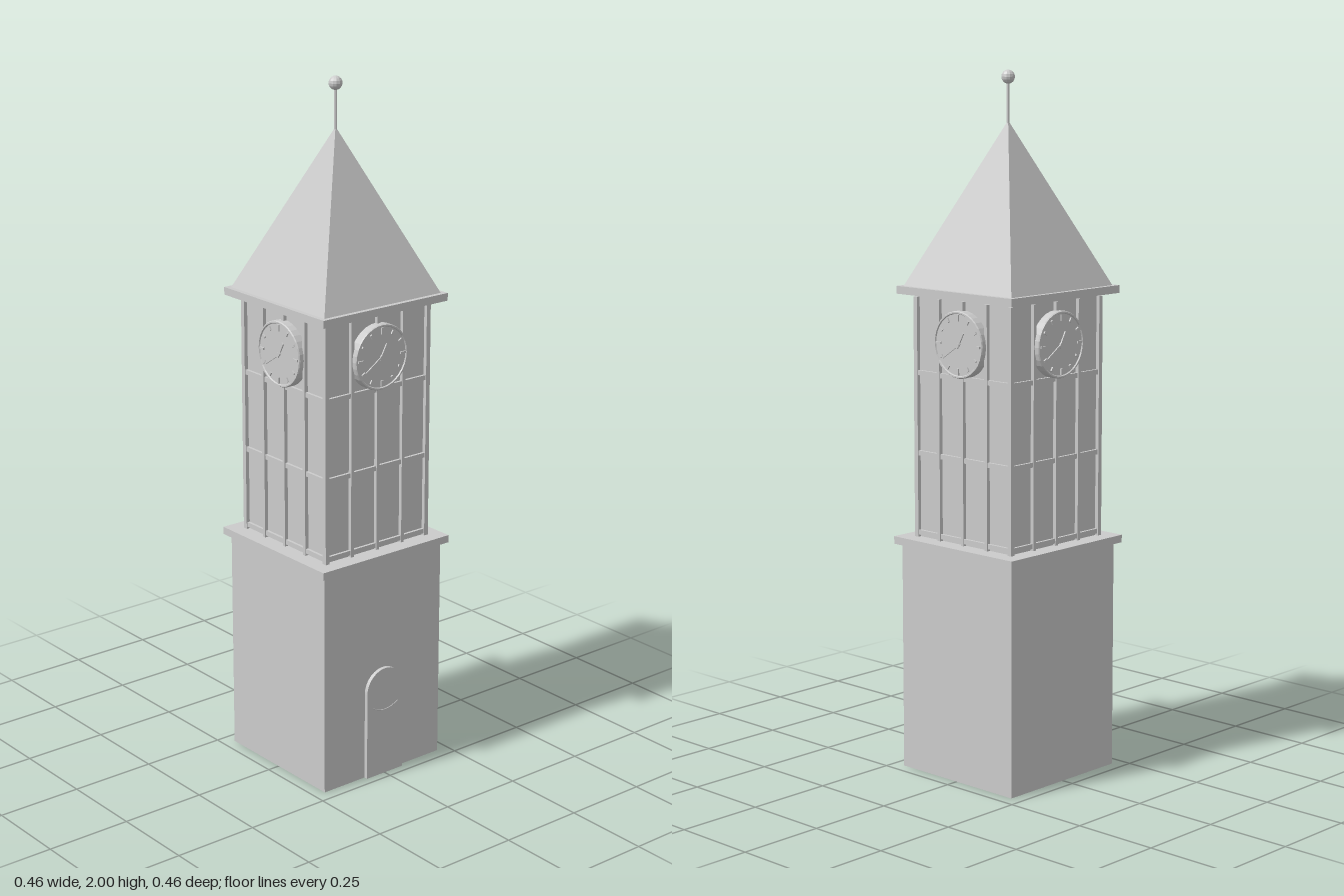
import * as THREE from 'three';

const material = new THREE.MeshStandardMaterial({ color: 0xcccccc, flatShading: true });

function add(parent, name, geometry, x = 0, y = 0, z = 0) {
  const mesh = new THREE.Mesh(geometry, material);
  mesh.name = name;
  mesh.position.set(x, y, z);
  parent.add(mesh);
  return mesh;
}

// Box given by its bottom and top heights
function block(parent, name, width, y0, y1, depth = width, x = 0, z = 0) {
  return add(parent, name, new THREE.BoxGeometry(width, y1 - y0, depth), x, (y0 + y1) / 2, z);
}

// Disc or ring whose axis points along z
const disc = (r, depth) => new THREE.CylinderGeometry(r, r, depth, 32).rotateX(Math.PI / 2);

// Bar from one point towards an angle (clockwise from twelve o'clock)
function hand(parent, name, length, width, angle, z) {
  const geometry = new THREE.BoxGeometry(width, length, 0.004).translate(0, length / 2 - 0.01, 0);
  add(parent, name, geometry, 0, 0, z).rotation.z = -angle;
}

function createClock() {
  const clock = new THREE.Group();
  clock.name = 'clock';
  add(clock, 'clockFace', disc(0.094, 0.024), 0, 0, 0.188);
  add(clock, 'clockRim', new THREE.TorusGeometry(0.09, 0.004, 6, 32), 0, 0, 0.2);
  for (let i = 0; i < 12; i++) {
    const a = (i * Math.PI) / 6;
    const length = i % 3 === 0 ? 0.018 : 0.012;
    const mark = add(clock, 'hourMark', new THREE.BoxGeometry(0.006, length, 0.005),
      Math.sin(a) * 0.075, Math.cos(a) * 0.075, 0.202);
    mark.rotation.z = -a;
  }
  hand(clock, 'minuteHand', 0.082, 0.006, 4.12, 0.2015);
  hand(clock, 'hourHand', 0.05, 0.008, 0.5, 0.202);
  add(clock, 'clockHub', disc(0.006, 0.006), 0, 0, 0.202);
  clock.position.y = 1.252;
  return clock;
}

// One side of the shaft: ribs, cross bars and clock
function createSide() {
  const side = new THREE.Group();
  side.name = 'shaftSide';
  for (const x of [-0.092, 0, 0.092]) block(side, 'rib', 0.01, 0.68, 1.37, 0.014, x, 0.181);
  for (const y of [0.695, 0.925, 1.155]) block(side, 'crossBar', 0.35, y - 0.007, y + 0.007, 0.01, 0, 0.18);
  side.add(createClock());
  return side;
}

function createDoor() {
  const door = new THREE.Group();
  door.name = 'door';
  const shape = new THREE.Shape();
  shape.moveTo(-0.066, 0);
  shape.lineTo(0.066, 0);
  shape.lineTo(0.066, 0.264);
  shape.absarc(0, 0.264, 0.066, 0, Math.PI, false);
  shape.closePath();
  add(door, 'doorPanel',
    new THREE.ExtrudeGeometry(shape, { depth: 0.015, bevelEnabled: false, curveSegments: 16 }), 0, 0, 0.21);
  // Shallow curved moulding on the panel
  const curve = new THREE.QuadraticBezierCurve3(
    new THREE.Vector3(-0.046, 0.217, 0), new THREE.Vector3(0, 0.187, 0), new THREE.Vector3(0.046, 0.217, 0));
  add(door, 'doorMoulding', new THREE.TubeGeometry(curve, 10, 0.0015, 5), 0, 0, 0.225);
  return door;
}

export function createModel() {
  const tower = new THREE.Group();
  tower.name = 'clockTower';

  // Base
  block(tower, 'base', 0.427, 0, 0.66);
  block(tower, 'ledge', 0.46, 0.66, 0.682);
  tower.add(createDoor());

  // Shaft with corner posts and four matching sides
  block(tower, 'shaft', 0.354, 0.68, 1.38);
  for (const x of [-1, 1]) {
    for (const z of [-1, 1]) block(tower, 'cornerPost', 0.014, 0.68, 1.37, 0.014, x * 0.181, z * 0.181);
  }
  for (let i = 0; i < 4; i++) {
    const side = createSide();
    side.rotation.y = (i * Math.PI) / 2;
    tower.add(side);
  }

  // Cornice, pyramid roof and finial
  block(tower, 'cornice', 0.442, 1.378, 1.4);
  const roof = new THREE.ConeGeometry(0.207 * Math.SQRT2, 0.46, 4).rotateY(Math.PI / 4);
  add(tower, 'roof', roof, 0, 1.63, 0);
  add(tower, 'finialPole', new THREE.CylinderGeometry(0.004, 0.004, 0.14, 8), 0, 1.905, 0);
  add(tower, 'finialBall', new THREE.SphereGeometry(0.0195, 12, 8), 0, 1.98, 0);
  return tower;
}
